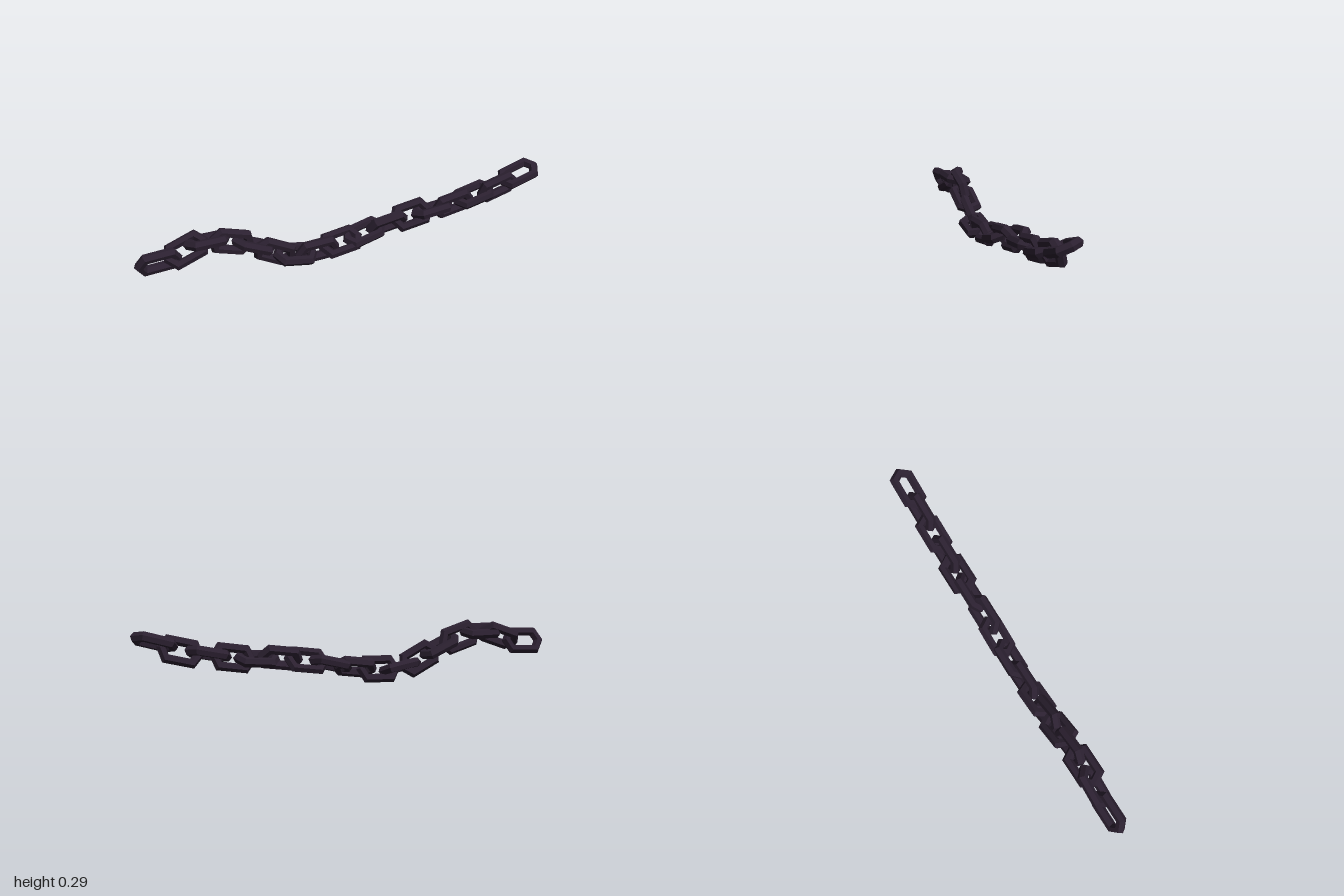
import * as THREE from 'three';

// Elongated six-cornered link lying in the xy plane, with a six-sided bar
function makeLinkGeometry() {
  const torus = new THREE.TorusGeometry(0.05, 0.0235, 6, 6);
  const pos = torus.attributes.position;
  for (let i = 0; i < pos.count; i++) {
    pos.setX(i, pos.getX(i) + Math.sign(pos.getX(i)) * 0.036);
  }
  const geometry = torus.toNonIndexed();
  geometry.computeVertexNormals();
  return geometry;
}

// Each link: x, y, z, tilt and roll in degrees (roll 0 faces the front)
const LINKS = [
  [-0.892, 0.17, 0.014, 3, 25],
  [-0.765, 0.2, 0.01, 20, -45],
  [-0.67, 0.226, 0.012, 0, 78],
  [-0.56, 0.2, 0.012, -17, 10],
  [-0.46, 0.162, 0.012, -24, 85],
  [-0.36, 0.108, 0.014, -27, 20],
  [-0.265, 0.074, 0.015, -10, 108],
  [-0.155, 0.07, 0.01, 2, 20],
  [-0.04, 0.086, 0.006, 8, -50],
  [0.08, 0.108, 0, 14, 108],
  [0.195, 0.13, -0.002, 8, 35],
  [0.32, 0.148, -0.008, 8, -35],
  [0.43, 0.15, -0.015, 5, 75],
  [0.54, 0.16, -0.016, 9, 18],
  [0.65, 0.184, -0.02, 12, 105],
  [0.775, 0.2, -0.02, 14, 18],
  [0.888, 0.248, -0.025, 16, -70],
];

export function createModel() {
  const model = new THREE.Group();
  model.name = 'chain';
  const darkIron = new THREE.MeshStandardMaterial({ color: 0x2b2030, flatShading: true });
  darkIron.name = 'darkIron';

  // Interlocked links, each turned about the run of the chain
  const geometry = makeLinkGeometry();
  const rad = THREE.MathUtils.degToRad;
  LINKS.forEach(([x, y, z, tilt, roll], i) => {
    const link = new THREE.Mesh(geometry, darkIron);
    link.name = `chainLink${i + 1}`;
    link.position.set(x, y, z);
    link.rotation.set(rad(roll), rad(2.5), rad(tilt), 'YZX');
    model.add(link);
  });

  // Rest the lowest link on the ground
  const low = new THREE.Box3().setFromObject(model, true).min.y;
  model.children.forEach((link) => { link.position.y -= low; });
  return model;
}
